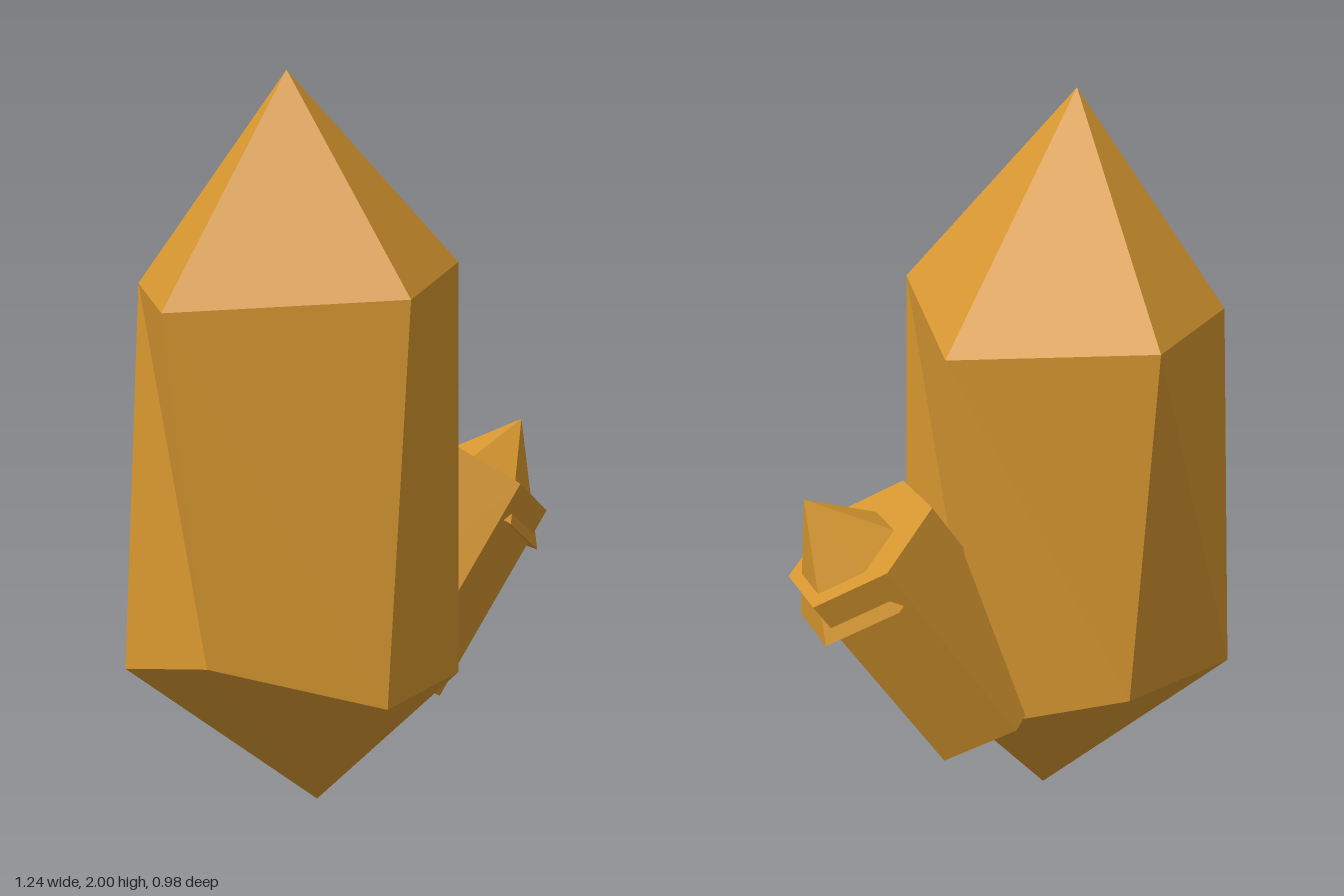
import * as THREE from 'three';

const amber = new THREE.MeshStandardMaterial({ color: 0xd4952f, flatShading: true });
amber.name = 'amber';

// Irregular double-pointed crystal: two six-sided rings joined, closed by an apex at each end
function crystalGeometry(topApex, topRing, bottomRing, bottomApex) {
  const pos = [];
  const tri = (a, b, c) => pos.push(...a, ...b, ...c);
  topRing.forEach((top, i) => {
    const j = (i + 1) % topRing.length;
    const topNext = topRing[j], low = bottomRing[i], lowNext = bottomRing[j];
    tri(topApex, topNext, top);
    tri(top, topNext, low);
    tri(topNext, lowNext, low);
    tri(low, lowNext, bottomApex);
  });
  const geo = new THREE.BufferGeometry();
  geo.setAttribute('position', new THREE.Float32BufferAttribute(pos, 3));
  geo.computeVertexNormals();
  return geo;
}

function addMesh(parent, name, geometry) {
  const mesh = new THREE.Mesh(geometry, amber);
  mesh.name = name;
  parent.add(mesh);
  return mesh;
}

export function createModel() {
  const model = new THREE.Group();
  model.name = 'crystalCluster';

  // Large upright crystal, rings listed from the back round by +x
  addMesh(model, 'mainCrystal', crystalGeometry(
    [-0.22, 2, 0.04],
    [[-0.22, 1.41, -0.49], [0.24, 1.365, -0.19], [0.21, 1.5, 0.19],
     [-0.1, 1.44, 0.49], [-0.62, 1.4, 0.15], [-0.53, 1.44, -0.24]],
    [[-0.185, 0.44, -0.43], [0.17, 0.35, -0.25], [0.24, 0.36, 0.16],
     [-0.14, 0.39, 0.45], [-0.54, 0.49, 0.22], [-0.605, 0.39, -0.2]],
    [-0.12, 0, 0]));

  // Small crystal leaning out to the side; its origin is the middle of the flat top
  const side = new THREE.Group();
  side.name = 'sideCrystal';
  side.position.set(0.453, 0.868, -0.1);
  side.rotation.z = -0.607;
  model.add(side);

  const length = 0.618, tipHeight = 0.308, tipTop = 0.198;
  const shaft = addMesh(side, 'sideShaft', new THREE.CylinderGeometry(0.23, 0.23, length, 6));
  shaft.position.y = -length / 2;

  // Off-centre point, sunk into the shaft so its rim breaks out on one side
  const tip = addMesh(side, 'sideTip', new THREE.ConeGeometry(0.23, tipHeight, 6));
  tip.position.set(0.04, tipTop - tipHeight / 2, 0);

  return model;
}
